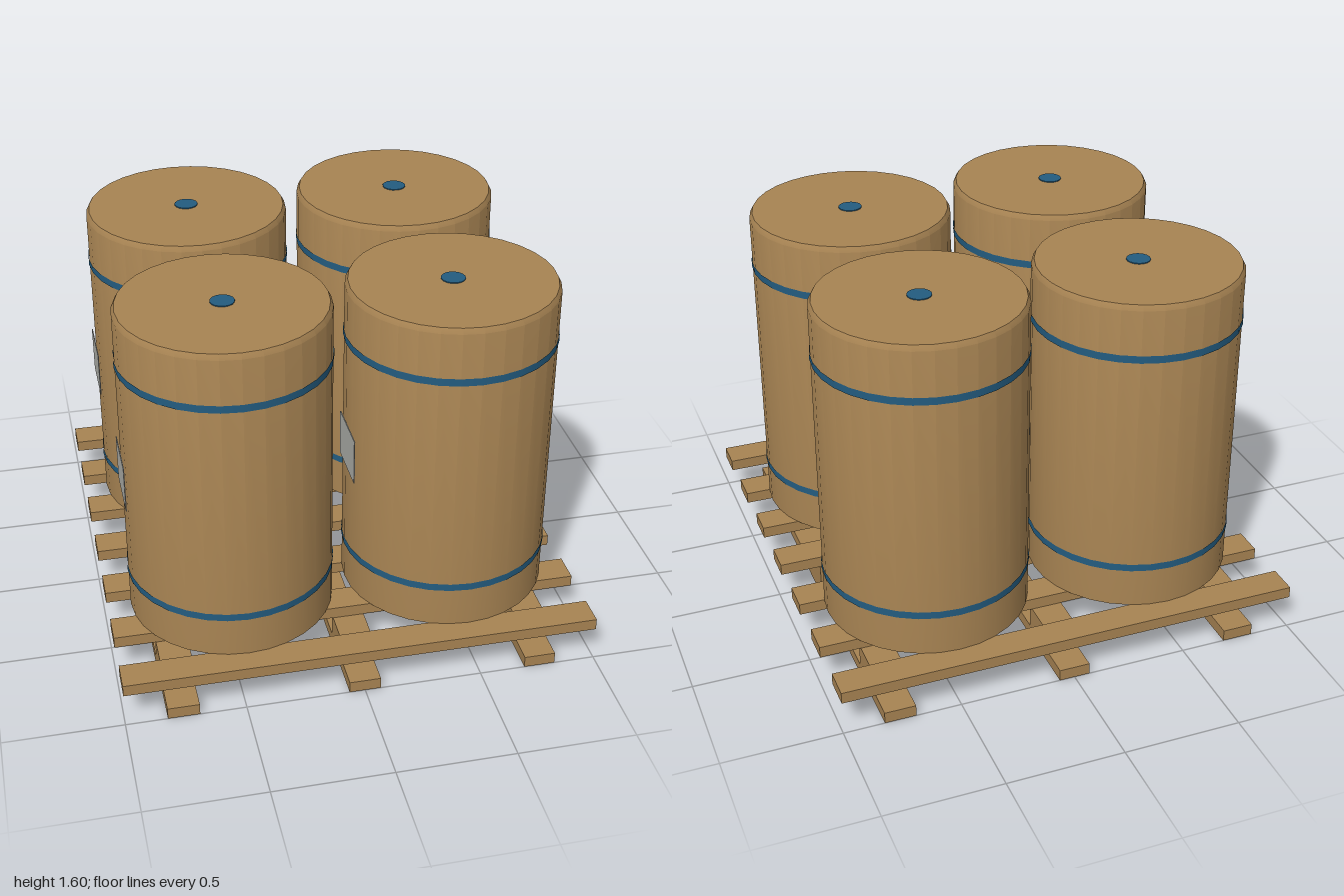
import * as THREE from 'three';
import { toCreasedNormals } from 'three/addons/utils/BufferGeometryUtils.js';

const mat = (name, color) => {
  const m = new THREE.MeshStandardMaterial({ color });
  m.name = name;
  return m;
};

export function createModel() {
  const kraft = mat('kraft brown', 0xa88453);
  const blue = mat('strap blue', 0x235c80);
  const paper = mat('label grey', 0xb0b1ac);
  blue.side = THREE.DoubleSide;

  const model = new THREE.Group();
  model.name = 'palletWithRolls';

  const add = (parent, name, geometry, material, x, y, z) => {
    const mesh = new THREE.Mesh(geometry, material);
    mesh.name = name;
    mesh.position.set(x, y, z);
    parent.add(mesh);
    return mesh;
  };

  // Pallet: three runners, nine blocks, seven deck slats
  const pallet = new THREE.Group();
  pallet.name = 'pallet';
  model.add(pallet);
  const runner = new THREE.BoxGeometry(0.133, 0.05, 2);
  const block = new THREE.BoxGeometry(0.133, 0.1, 0.15);
  const slat = new THREE.BoxGeometry(2, 0.05, 0.132);
  for (const x of [-0.76, 0, 0.76]) {
    add(pallet, 'runner', runner, kraft, x, 0.025, 0);
    for (const z of [-0.74, 0, 0.74]) add(pallet, 'block', block, kraft, x, 0.1, z);
  }
  for (let i = -3; i <= 3; i++) {
    add(pallet, 'deckSlat', slat, kraft, 0, 0.175, i * 0.3113);
  }

  // Roll profile with a small bevel at the top edge
  const profile = [[0, 0], [0.434, 0], [0.434, 1.378], [0.422, 1.4], [0, 1.4]]
    .map(([r, y]) => new THREE.Vector2(r, y));
  const body = toCreasedNormals(new THREE.LatheGeometry(profile, 32), 0.5);
  const strap = new THREE.CylinderGeometry(0.4375, 0.4375, 0.032, 32, 1, true);
  const core = new THREE.CylinderGeometry(0.05, 0.05, 1.408, 16);
  const label = new THREE.BoxGeometry(0.004, 0.2, 0.25);

  // Four identical rolls
  for (const x of [-0.467, 0.467]) {
    for (const z of [-0.467, 0.467]) {
      const roll = new THREE.Group();
      roll.name = 'roll';
      roll.position.set(x, 0.2, z);
      model.add(roll);
      add(roll, 'body', body, kraft, 0, 0, 0);
      add(roll, 'core', core, blue, 0, 0.7, 0);
      for (const y of [0.19, 1.17]) add(roll, 'strap', strap, blue, 0, y, 0);
      add(roll, 'label', label, paper, -0.441, 0.7, 0.06);
    }
  }
  return model;
}
